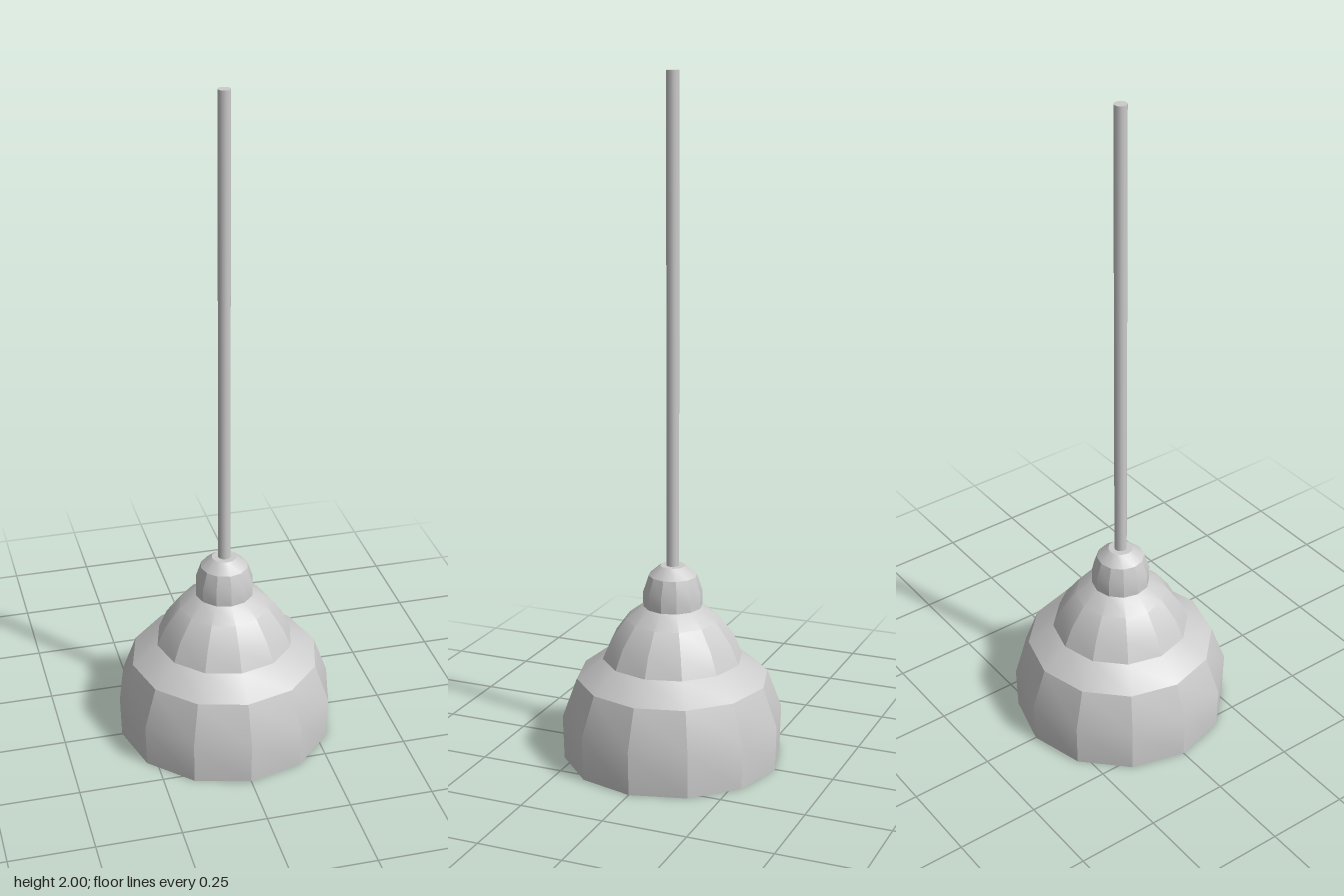
import * as THREE from 'three';
import { toCreasedNormals } from 'three/addons/utils/BufferGeometryUtils.js';

const SIDES = 12;

export function createModel() {
  const group = new THREE.Group();
  const material = new THREE.MeshStandardMaterial({ color: 0xcccccc, side: THREE.DoubleSide });

  const add = (name, geometry) => {
    const mesh = new THREE.Mesh(geometry, material);
    mesh.name = name;
    group.add(mesh);
  };

  // Turned part: facets stay crisp around the axis, soft along the profile
  const turned = (profile) => toCreasedNormals(
    new THREE.LatheGeometry(profile.map(([r, y]) => new THREE.Vector2(r, y)), SIDES), 0.42);

  // Two-tier hollow shade: inside from the top down, around the rim, outside back up
  add('shade', turned([
    [0.018, 0.45], [0.08, 0.45], [0.127, 0.41], [0.168, 0.355], [0.194, 0.297],
    [0.27, 0.238], [0.311, 0.13], [0.306, 0],
    [0.323, 0], [0.327, 0.13], [0.284, 0.247], [0.207, 0.305],
    [0.181, 0.365], [0.137, 0.425], [0.087, 0.463], [0.018, 0.463],
  ]));

  // Domed socket cap above the shade
  add('socketCap', turned([
    [0.018, 0.46], [0.087, 0.46], [0.087, 0.508], [0.071, 0.556], [0.037, 0.585], [0.018, 0.585],
  ]));

  // Hanging rod
  const rod = new THREE.CylinderGeometry(0.0185, 0.0185, 1.55, SIDES);
  rod.translate(0, 1.225, 0);
  add('rod', rod);

  return group;
}
